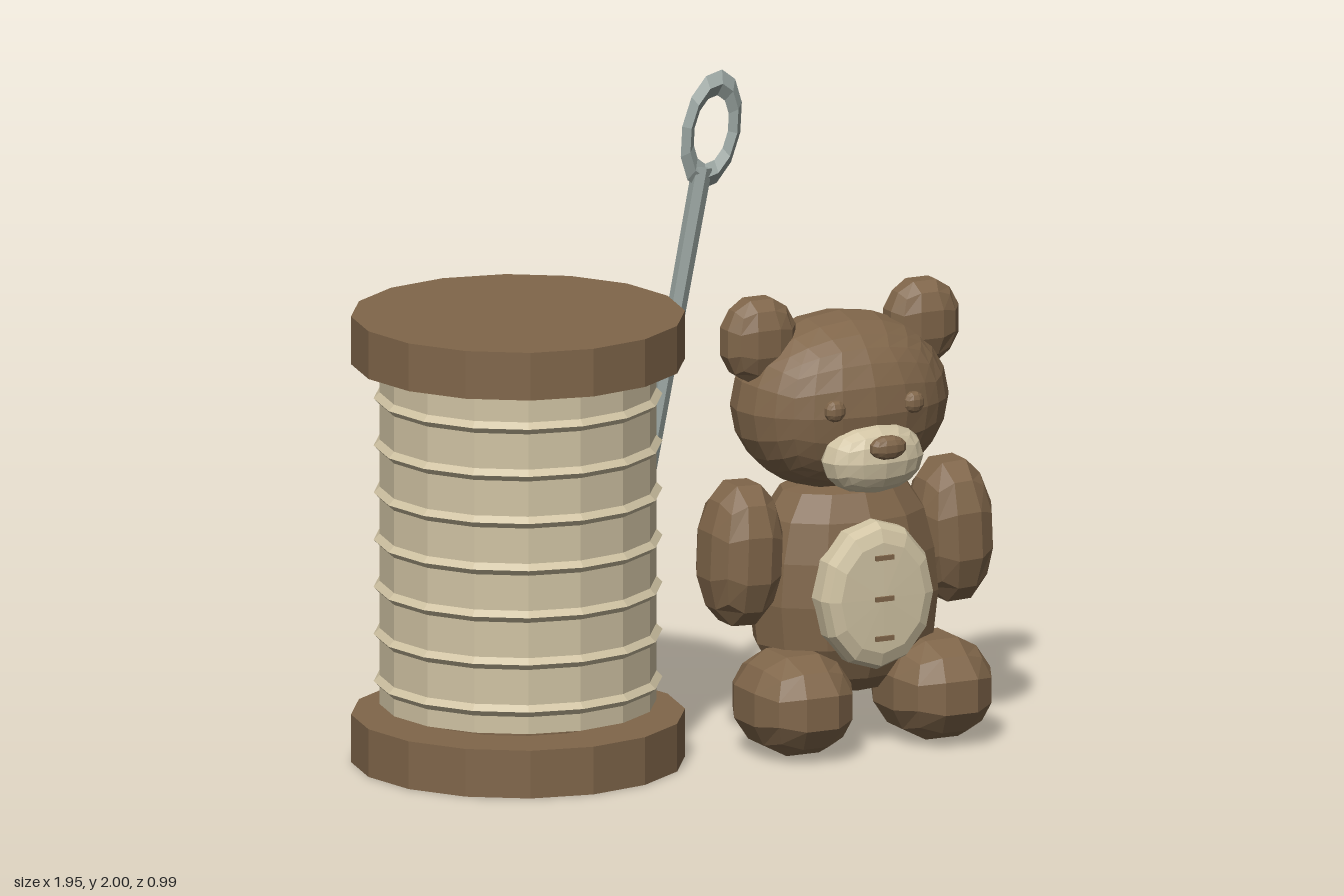
import * as THREE from 'three';

const flat = (name, color) => {
  const m = new THREE.MeshStandardMaterial({ color, flatShading: true });
  m.name = name;
  return m;
};

export function createModel() {
  const brown = flat('warm brown', 0x80664a);
  const cream = flat('cream', 0xd0c3a3);
  const steel = flat('steel grey', 0x95a09c);

  const model = new THREE.Group();
  model.name = 'sewingBear';
  const group = (name) => {
    const g = new THREE.Group();
    g.name = name;
    model.add(g);
    return g;
  };
  const add = (parent, name, geometry, material, x, y, z) => {
    const mesh = new THREE.Mesh(geometry, material);
    mesh.name = name;
    mesh.position.set(x, y, z);
    parent.add(mesh);
    return mesh;
  };

  // Low-poly ellipsoid: a subdivided box pushed out to a sphere, then fitted to its radii
  const blob = (rx, ry, rz, n) => {
    const geo = new THREE.BoxGeometry(2, 2, 2, n, n, n);
    const p = geo.attributes.position;
    const v = new THREE.Vector3();
    for (let i = 0; i < p.count; i++) {
      v.fromBufferAttribute(p, i).normalize();
      p.setXYZ(i, v.x, v.y, v.z);
    }
    geo.computeBoundingBox();
    const s = 1 / geo.boundingBox.max.x;
    geo.scale(rx * s, ry * s, rz * s);
    geo.computeVertexNormals();
    return geo;
  };

  // Spool: wooden flanges and core, wound thread with raised strands
  const spool = group('spool');
  const sx = -0.485;
  const flange = new THREE.CylinderGeometry(0.495, 0.495, 0.145, 16);
  add(spool, 'bottomFlange', flange, brown, sx, 0.0725, 0);
  add(spool, 'topFlange', flange, brown, sx, 1.2825, 0);
  add(spool, 'core', new THREE.CylinderGeometry(0.31, 0.31, 1.1, 16), brown, sx, 0.68, 0);
  add(spool, 'thread', new THREE.CylinderGeometry(0.41, 0.41, 1.015, 16), cream, sx, 0.6825, 0);
  const strand = new THREE.TorusGeometry(0.408, 0.02, 4, 16).rotateX(Math.PI / 2);
  for (let i = 0; i < 7; i++) add(spool, 'threadStrand', strand, cream, sx, 0.245 + i * 0.1433, 0);

  // Needle: leaning shaft with an oval eye
  const needle = group('needle');
  const tip = new THREE.Vector3(-0.09, 0.41, -0.09);
  const top = new THREE.Vector3(0.17, 1.71, -0.09);
  const mid = tip.clone().add(top).multiplyScalar(0.5);
  const lean = -Math.atan2(top.x - tip.x, top.y - tip.y);
  const shaft = new THREE.CylinderGeometry(0.03, 0.024, tip.distanceTo(top), 6);
  add(needle, 'needleShaft', shaft, steel, mid.x, mid.y, mid.z).rotation.z = lean;
  const eye = new THREE.TorusGeometry(0.077, 0.021, 4, 12).scale(1, 1.86, 1);
  add(needle, 'needleEye', eye, steel, 0.2, 1.82, -0.09).rotation.z = lean;

  // Bear body: a pear-shaped lathe, flattened front to back
  const bear = group('bear');
  const cx = 0.505;
  const profile = [[0, 0.155], [0.14, 0.16], [0.225, 0.21], [0.285, 0.31], [0.3, 0.44],
    [0.287, 0.57], [0.255, 0.69], [0.2, 0.77], [0, 0.8]].map(([r, y]) => new THREE.Vector2(r, y));
  add(bear, 'body', new THREE.LatheGeometry(profile, 12).scale(1, 1, 0.72), brown, cx, 0, 0.172);

  // Belly patch: a shallow bevelled oval disc with stitches
  const disc = [[1, 0], [1, 0.09], [0.93, 0.12], [0.75, 0.135], [0, 0.14]].map(([r, y]) => new THREE.Vector2(r, y));
  const belly = new THREE.LatheGeometry(disc, 12).rotateX(Math.PI / 2).scale(0.185, 0.225, 1);
  add(bear, 'belly', belly, cream, cx, 0.475, 0.3);
  for (const y of [0.355, 0.475, 0.6]) {
    add(bear, 'stitch', new THREE.BoxGeometry(0.06, 0.014, 0.009), brown, cx, y, 0.444);
  }

  // Head and face
  add(bear, 'head', blob(0.34, 0.27, 0.25, 6), brown, cx, 1.02, 0.145);
  add(bear, 'muzzle', blob(0.165, 0.11, 0.1, 4), cream, cx, 0.89, 0.36);
  add(bear, 'nose', blob(0.055, 0.034, 0.028, 3), brown, cx, 0.94, 0.464);

  // Paired parts
  for (const [side, s] of [['left', 1], ['right', -1]]) {
    add(bear, side + 'Eye', blob(0.031, 0.031, 0.022, 3), brown, cx + s * 0.13, 1.045, 0.375);
    add(bear, side + 'Ear', blob(0.112, 0.125, 0.078, 3), brown, cx + s * 0.27, 1.23, 0.145);
    const arm = add(bear, side + 'Arm', blob(0.117, 0.212, 0.136, 3), brown, cx + s * 0.348, 0.598, 0.18);
    arm.rotation.z = s * 0.04;
    add(bear, side + 'Foot', blob(0.16, 0.15, 0.2, 3), brown, cx + s * 0.23, 0.16, 0.295);
  }
  return model;
}
